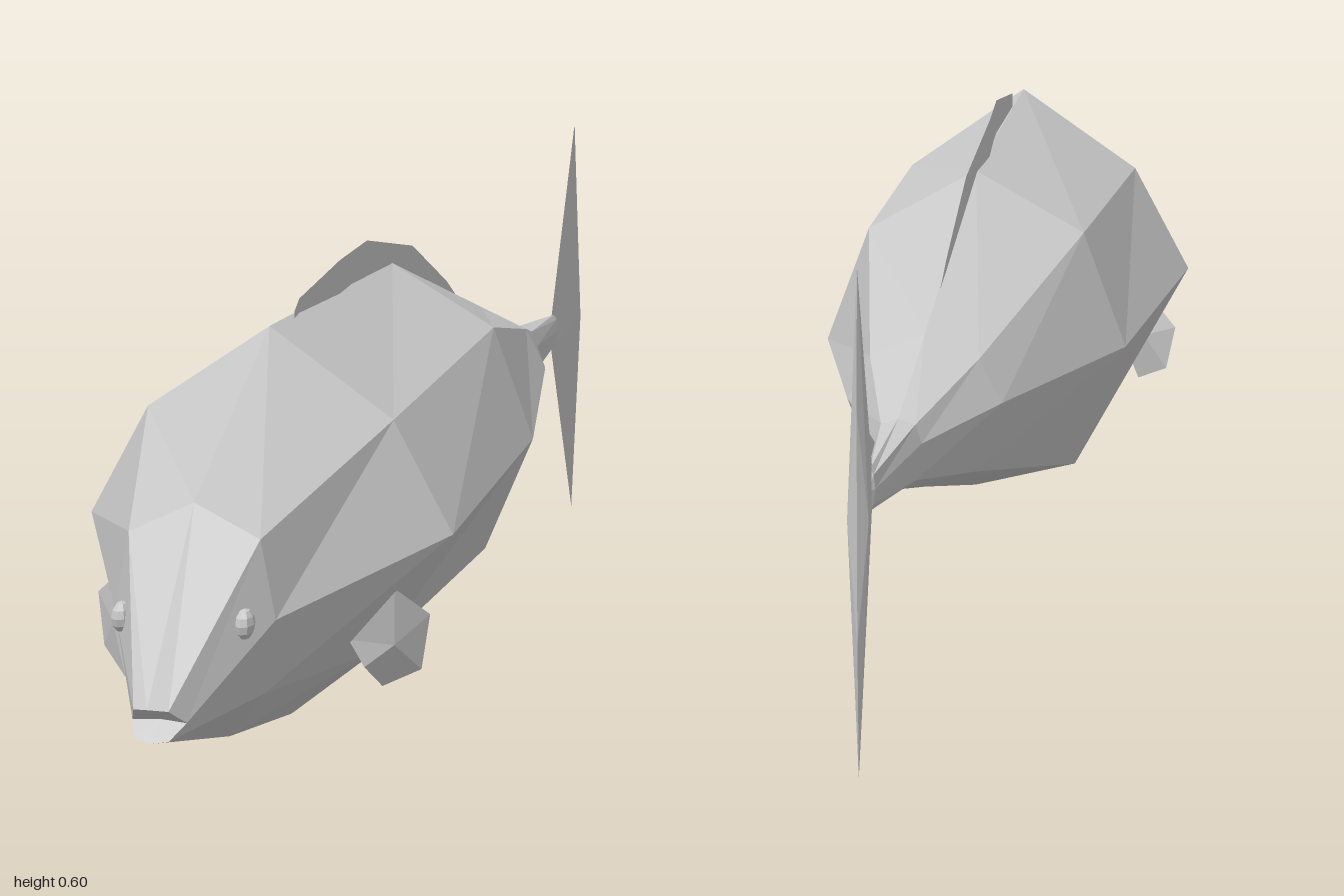
import * as THREE from 'three';

const mat = new THREE.MeshStandardMaterial({ color: 0xcccccc, flatShading: true, side: THREE.DoubleSide });

function mesh(name, points, index) {
  const g = new THREE.BufferGeometry();
  g.setAttribute('position', new THREE.Float32BufferAttribute(points.flat(), 3));
  g.setIndex(index);
  const flat = g.toNonIndexed();
  flat.computeVertexNormals();
  const m = new THREE.Mesh(flat, mat);
  m.name = name;
  return m;
}

// Eight-sided body sections, nose to tail:
// z, centre x, top y, upper half width, y, middle half width, y, lower half width, y, bottom y, bottom z, yaw slope
const SECTIONS = [
  [0.985, 0.066, 0.278, 0.020, 0.274, 0.031, 0.255, 0.020, 0.240, 0.236, 0.985, 0.08],
  [0.805, 0.048, 0.463, 0.076, 0.425, 0.093, 0.333, 0.068, 0.237, 0.160, 0.700, 0.10],
  [0.435, 0.000, 0.583, 0.150, 0.478, 0.222, 0.343, 0.128, 0.193, 0.078, 0.340, 0.09],
  [-0.10, -0.033, 0.550, 0.135, 0.475, 0.188, 0.333, 0.125, 0.183, 0.152, -0.10, 0.03],
  [-0.49, -0.043, 0.412, 0.065, 0.385, 0.092, 0.333, 0.060, 0.250, 0.230, -0.49, 0.03],
  [-0.67, -0.047, 0.346, 0.020, 0.340, 0.027, 0.318, 0.020, 0.275, 0.264, -0.67, 0.03],
  [-0.85, -0.051, 0.325, 0.004, 0.318, 0.006, 0.302, 0.004, 0.284, 0.277, -0.85, 0.03],
];

function body() {
  const pts = [], idx = [], n = 8;
  SECTIONS.forEach(([z, cx, top, uw, uy, mw, my, lw, ly, bot, bz, slope], i) => {
    const side = (w, y, back = 0) => [cx + w, y, z - back - slope * w];
    const corner = i === 0 ? 0.025 : 0; // mouth corners sit back from the lips
    const low = i === 1 ? 0.03 : 0;
    pts.push([cx, top, i === 0 ? 0.997 : z], side(uw, uy), side(mw, my, corner), side(lw, ly, low),
      [cx - (i === 2 ? 0.01 : 0), bot, bz], side(-lw, ly, low), side(-mw, my, corner), side(-uw, uy));
  });
  const rings = SECTIONS.length;
  for (let i = 0; i < rings - 1; i++) {
    for (let j = 0; j < n; j++) {
      const a = i * n + j, b = i * n + (j + 1) % n, c = a + n, d = b + n;
      idx.push(a, b, c, b, d, c);
    }
  }
  // mouth hollow and tail end
  const mouth = pts.push([0.064, 0.256, 0.955]) - 1;
  const end = pts.push([-0.051, 0.3, -0.86]) - 1;
  for (let j = 0; j < n; j++) {
    const k = (j + 1) % n, o = (rings - 1) * n;
    idx.push(mouth, k, j, end, o + j, o + k);
  }
  return mesh('body', pts, idx);
}

// Thin fin: an outline fanned to a raised centre on both faces
function fin(name, outline, centre, normal) {
  const n = outline.length, idx = [];
  const pts = [...outline, centre.map((c, k) => c + normal[k]), centre.map((c, k) => c - normal[k])];
  for (let j = 0; j < n; j++) {
    const k = (j + 1) % n;
    idx.push(n, j, k, n + 1, k, j);
  }
  return mesh(name, pts, idx);
}

// Dorsal fin: a sheet rising out of the back. Each station: x, top y, base y, z
function dorsalFin() {
  const stations = [
    [0.000, 0.583, 0.55, 0.35], [-0.005, 0.592, 0.55, 0.32], [-0.014, 0.605, 0.54, 0.15],
    [-0.032, 0.599, 0.53, 0.00], [-0.037, 0.555, 0.49, -0.19], [-0.041, 0.478, 0.43, -0.34],
    [-0.042, 0.445, 0.42, -0.39],
  ];
  const pts = [], idx = [];
  stations.forEach(([x, top, base, z], i) => {
    pts.push([x, top, z], [x, base, z]);
    if (i) idx.push(2 * i - 2, 2 * i, 2 * i - 1, 2 * i, 2 * i + 1, 2 * i - 1);
  });
  return mesh('dorsalFin', pts, idx);
}

export function createModel() {
  const group = new THREE.Group();
  group.name = 'fish';
  group.add(body(), dorsalFin());

  // Tail fin, thickest along its trailing edge
  group.add(fin('tailFin', [
    [-0.050, 0.325, -0.835], [-0.066, 0.575, -0.99], [-0.067, 0.42, -1], [-0.067, 0.16, -1],
    [-0.066, 0.008, -0.99], [-0.050, 0.277, -0.835],
  ], [-0.065, 0.295, -0.985], [0.012, 0, 0]));

  // Pectoral fins, swept back from the lower flanks
  group.add(fin('leftPectoralFin', [
    [0.180, 0.297, 0.505], [0.204, 0.252, 0.445], [0.195, 0.185, 0.450],
    [0.160, 0.172, 0.490], [0.157, 0.210, 0.545], [0.142, 0.245, 0.557],
  ], [0.172, 0.228, 0.500], [0.008, 0, 0.005]));
  group.add(fin('rightPectoralFin', [
    [-0.150, 0.297, 0.545], [-0.102, 0.247, 0.585], [-0.140, 0.172, 0.555],
    [-0.185, 0.195, 0.510], [-0.200, 0.255, 0.490],
  ], [-0.155, 0.236, 0.537], [-0.004, 0, 0.008]));

  // Eyes
  for (const [name, x, z] of [['leftEye', 0.123, 0.845], ['rightEye', -0.018, 0.86]]) {
    const eye = new THREE.Mesh(new THREE.SphereGeometry(0.018, 8, 6), mat);
    eye.name = name;
    eye.scale.set(0.6, 1, 1);
    eye.position.set(x, 0.34, z);
    group.add(eye);
  }
  return group;
}
